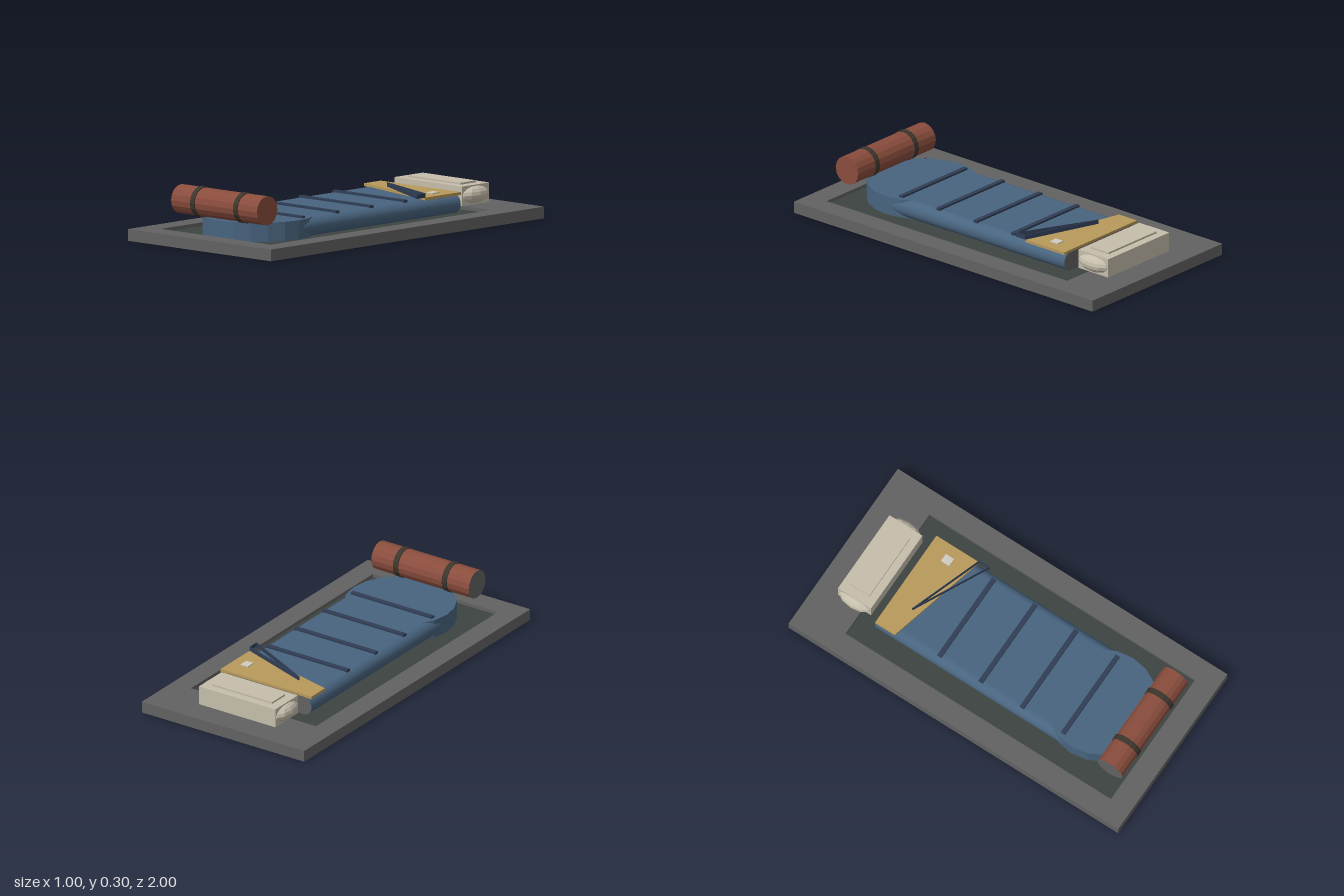
import * as THREE from 'three';

export function createModel() {
  const root = new THREE.Group();
  const mat = (name, color, extra = {}) => {
    const m = new THREE.MeshStandardMaterial({ color, flatShading: true, ...extra });
    m.name = name;
    return m;
  };
  const stone = mat('stone grey', 0x626262);
  const floor = mat('dark floor', 0x3c4341);
  const blue = mat('bag blue', 0x48647f);
  const navy = mat('seam navy', 0x2f3d55);
  const tan = mat('lining tan', 0xb8995a);
  const cream = mat('pillow cream', 0xc6beac);
  const rust = mat('blanket rust', 0x8a4d3d);
  const strapMat = mat('strap brown', 0x3d362d);
  const pale = mat('patch pale', 0xd0ccc0);

  const add = (name, geo, material, x = 0, y = 0, z = 0) => {
    const m = new THREE.Mesh(geo, material);
    m.name = name;
    m.position.set(x, y, z);
    root.add(m);
    return m;
  };
  const box = (name, w, h, d, material, x, y, z) =>
    add(name, new THREE.BoxGeometry(w, h, d), material, x, y, z);
  // Closed outline given in x and z, extruded upwards from y
  const slab = (name, pts, holes, y, h, material) => {
    const toV = (p) => new THREE.Vector2(p[0], -p[1]);
    const s = new THREE.Shape(pts.map(toV));
    for (const hole of holes) s.holes.push(new THREE.Path(hole.map(toV)));
    const g = new THREE.ExtrudeGeometry(s, { depth: h, bevelEnabled: false });
    g.rotateX(-Math.PI / 2);
    return add(name, g, material, 0, y, 0);
  };
  const rect = (x, z0, z1) => [[-x, z0], [-x, z1], [x, z1], [x, z0]];

  // Ground slab with a shallow sunken floor
  box('slab', 1, 0.04, 2, stone, 0, 0.02, 0);
  slab('slabRim', rect(0.5, -1, 1), [rect(0.385, -0.73, 0.88)], 0.04, 0.02, stone);
  box('sunkenFloor', 0.77, 0.002, 1.61, floor, 0, 0.041, 0.075);

  // Sleeping bag body: rounded cross-section run along z
  const w = 0.28, r = 0.048, y0 = 0.042, y1 = 0.14;
  const p = new THREE.Shape();
  p.moveTo(-w + r, y0);
  p.lineTo(w - r, y0);
  p.absarc(w - r, y0 + r, r, -Math.PI / 2, 0);
  p.absarc(w - r, y1 - r, r, 0, Math.PI / 2);
  p.lineTo(-w + r, y1);
  p.absarc(-w + r, y1 - r, r, Math.PI / 2, Math.PI);
  p.absarc(-w + r, y0 + r, r, Math.PI, Math.PI * 1.5);
  add('bagBody',
    new THREE.ExtrudeGeometry(p, { depth: 1.19, bevelEnabled: false, curveSegments: 4 }),
    [stone, blue], 0, 0, -0.62);

  // Round foot end
  add('bagFoot', new THREE.CylinderGeometry(0.285, 0.285, 0.098, 20), blue, 0, 0.091, 0.57);

  // Quilting seams
  for (const z of [-0.25, 0, 0.25, 0.5])
    box('quiltSeam', 0.5, 0.014, 0.025, navy, 0, 0.143, z);

  // Lining at the open end, with a small patch
  slab('lining', [[-0.28, -0.62], [-0.28, -0.5], [0.28, -0.36], [0.28, -0.62]], [], 0.138, 0.015, tan);
  box('patch', 0.045, 0.006, 0.05, pale, 0.2, 0.155, -0.5);

  // Folded-back edge: a thin upright three-sided band
  const fold = [[-0.12, -0.5], [0.28, -0.3], [0.28, -0.36]];
  fold.forEach(([ax, az], i) => {
    const [bx, bz] = fold[(i + 1) % 3];
    const wall = box('foldedEdge', Math.hypot(bx - ax, bz - az), 0.022, 0.004, navy,
      (ax + bx) / 2, 0.164, (az + bz) / 2);
    wall.rotation.y = -Math.atan2(bz - az, bx - ax);
  });

  // Pillow with a raised panel and puffed ends
  box('pillow', 0.47, 0.1, 0.2, cream, 0, 0.12, -0.775);
  box('pillowPanel', 0.37, 0.012, 0.115, cream, 0, 0.174, -0.775);
  for (const side of [-1, 1]) {
    const puff = add('pillowEnd', new THREE.SphereGeometry(1, 10, 8), cream, side * 0.225, 0.12, -0.775);
    puff.scale.set(0.047, 0.045, 0.098);
  }

  // Rolled blanket, lying across the foot end, with two straps
  const roll = (name, rad, len, material, x) => {
    const g = new THREE.CylinderGeometry(rad, rad, len, 16);
    g.rotateZ(Math.PI / 2);
    return add(name, g, material, x, 0.217, 0.818);
  };
  // The -x end of the roll is grey
  roll('blanketRoll', 0.075, 0.6, [rust, stone, rust], 0);
  for (const x of [-0.15, 0.15]) roll('rollStrap', 0.079, 0.03, strapMat, x);

  return root;
}
